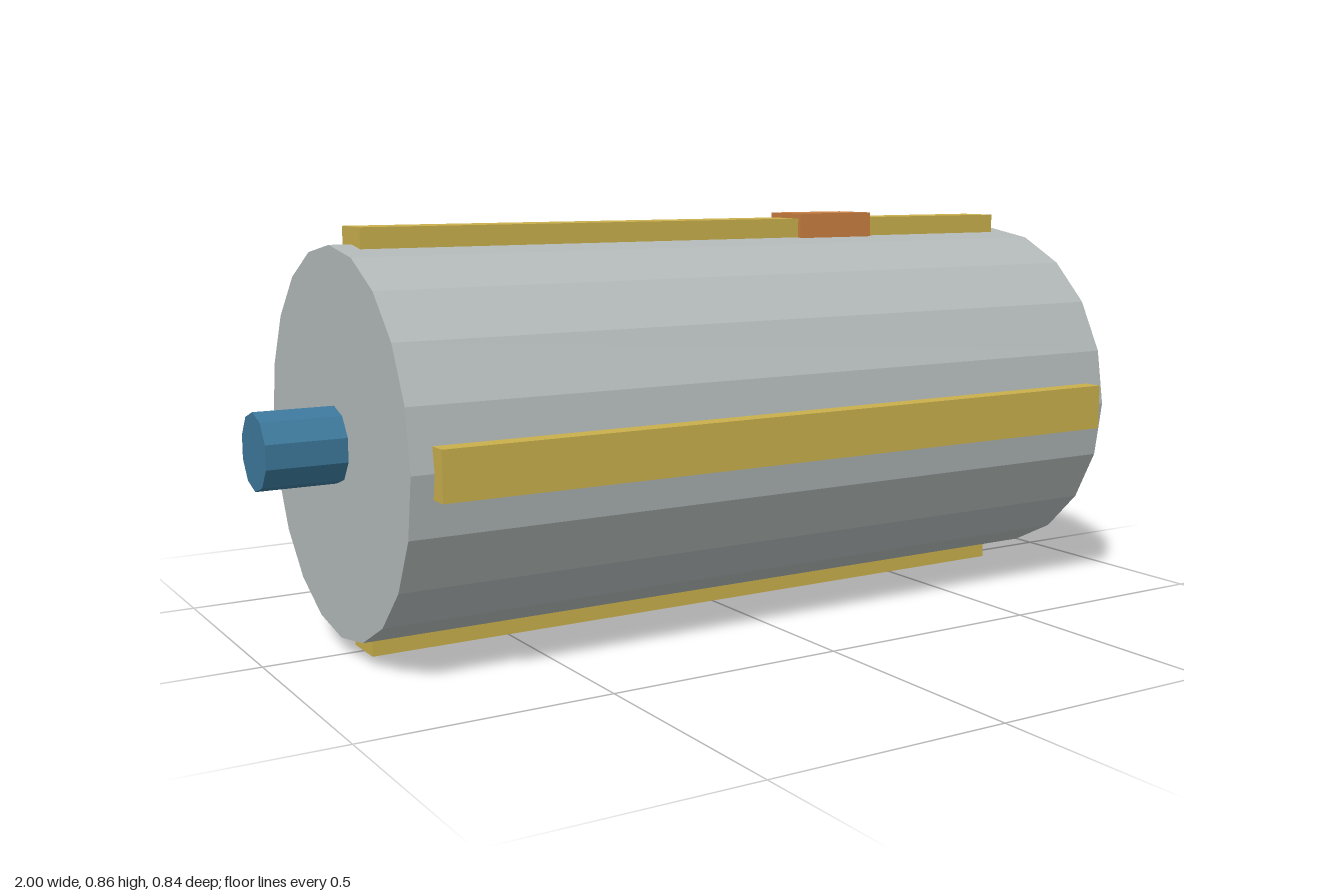
import * as THREE from 'three';

const material = (name, color) => {
  const m = new THREE.MeshStandardMaterial({ color, flatShading: true });
  m.name = name;
  return m;
};

export function createModel() {
  const model = new THREE.Group();
  model.name = 'roller';
  const steel = material('grey steel', 0xb2b9b8);
  const blue = material('blue steel', 0x3c789b);
  const brass = material('brass', 0xc9af4c);
  const copper = material('copper', 0xc97e40);

  const centre = 0.422;
  const add = (parent, name, geometry, mat) => {
    const mesh = new THREE.Mesh(geometry, mat);
    mesh.name = name;
    parent.add(mesh);
    return mesh;
  };

  // Faceted cylinder lying along x, with a corner pointing straight up
  const rod = (radius, length, sides) =>
    new THREE.CylinderGeometry(radius, radius, length, sides, 1, false, Math.PI / 2)
      .rotateZ(Math.PI / 2);

  // Drum and the axle through it
  add(model, 'drum', rod(0.388, 1.68, 20), steel).position.y = centre;
  add(model, 'axle', rod(0.077, 2, 10), blue).position.y = centre;

  // Four long bars around the drum, a quarter turn apart
  for (let i = 0; i < 4; i++) {
    const arm = new THREE.Group();
    arm.name = 'barMount' + (i + 1);
    arm.position.y = centre;
    arm.rotation.x = i * Math.PI / 2;
    add(arm, 'bar', new THREE.BoxGeometry(1.59, 0.05, 0.097), brass).position.y = 0.397;
    model.add(arm);
  }

  // Clip sitting over the top bar
  add(model, 'clip', new THREE.BoxGeometry(0.194, 0.055, 0.116), copper)
    .position.set(0.322, 0.8275, 0);

  return model;
}
